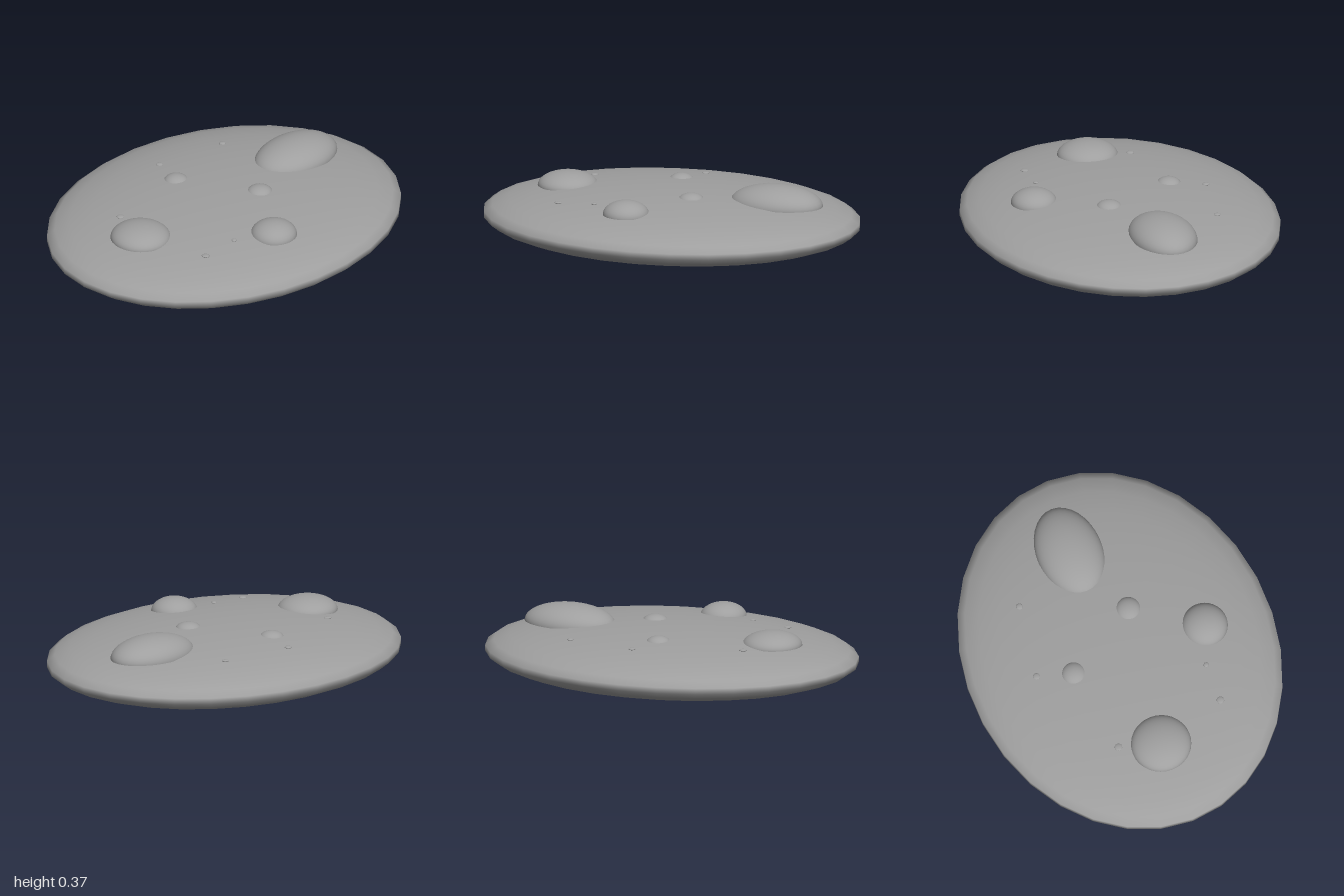
import * as THREE from 'three';

export function createModel() {
  const group = new THREE.Group();
  const material = new THREE.MeshStandardMaterial({ color: 0x9f9f9f, side: THREE.DoubleSide });
  const R = { x: 0.813, y: 0.15, z: 1.0055 };

  // Height of the body's upper surface at a point
  const surfaceY = (x, z) => R.y * (1 + Math.sqrt(1 - (x / R.x) ** 2 - (z / R.z) ** 2));

  const add = (name, geometry, x, y, z) => {
    const mesh = new THREE.Mesh(geometry, material);
    mesh.name = name;
    mesh.position.set(x, y, z);
    group.add(mesh);
  };

  // Flattened oval body, with facet corners on the front and back tips
  const body = new THREE.SphereGeometry(1, 30, 15, Math.PI / 2).scale(R.x, R.y, R.z);
  add('body', body, 0, R.y, 0);

  // Half-dome bumps: x, base y, z, x radius, height, z radius
  const domes = [
    ['backDome', -0.053, 0.264, -0.563, 0.171, 0.101, 0.25],
    ['frontDome', -0.01, 0.262, 0.587, 0.157, 0.073, 0.155],
    ['leftDome', 0.442, 0.262, 0.07, 0.12, 0.073, 0.12],
    ['smallBackDome', 0.107, 0.28, -0.152, 0.067, 0.038, 0.068],
    ['smallRightDome', -0.284, 0.27, 0.068, 0.066, 0.04, 0.066],
  ];
  for (const [name, x, y, z, rx, h, rz] of domes) {
    const dome = new THREE.SphereGeometry(1, 32, 12, 0, Math.PI * 2, 0, Math.PI / 2).scale(rx, h, rz);
    add(name, dome, x, y, z);
  }

  // Tiny pimples barely rising out of the top: x, z, radius
  const pimples = [
    [-0.405, -0.38, 0.018], [-0.468, 0.01, 0.019], [-0.222, 0.527, 0.02],
    [0.366, 0.28, 0.014], [0.363, 0.482, 0.02],
  ];
  pimples.forEach(([x, z, r], i) => {
    const pimple = new THREE.SphereGeometry(1, 16, 10).scale(r, 0.006, r);
    add('pimple' + (i + 1), pimple, x, surfaceY(x, z) + 0.001, z);
  });

  return group;
}
